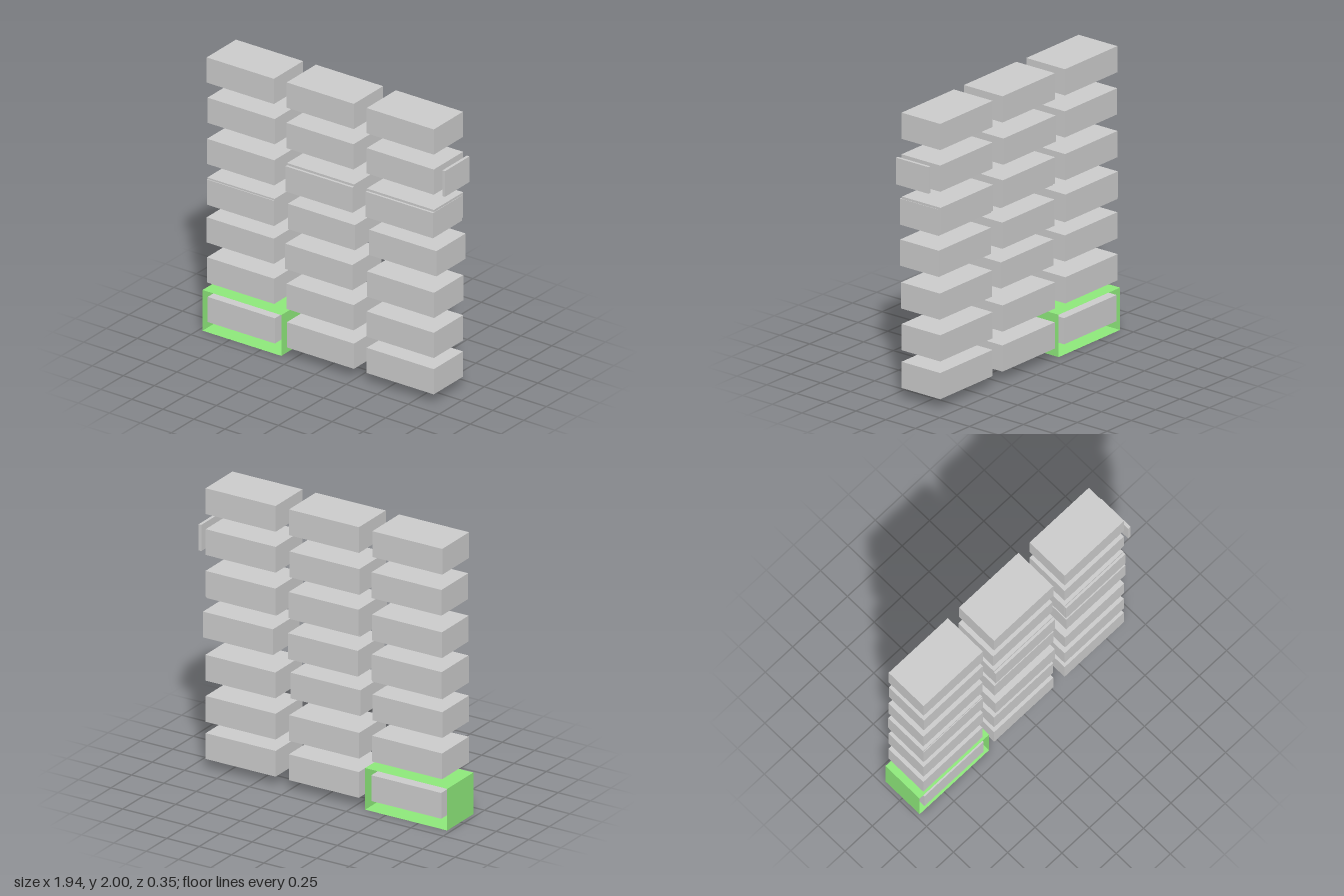
import * as THREE from 'three';

const GREY = new THREE.MeshStandardMaterial({ color: 0xcccccc, flatShading: true });
const GREEN = new THREE.MeshStandardMaterial({ color: 0x8ee97b, side: THREE.DoubleSide });

const W = 0.541, H = 0.183, D = 0.325;

// Rows from bottom to top: centre [x, y, z] of each block, left column to right
const ROWS = [
  [[-0.66, 0.167, -0.003], [-0.023, 0.167, -0.003], [0.62, 0.167, -0.003]],
  [[-0.668, 0.451, -0.006], [-0.025, 0.446, -0.003], [0.62, 0.431, -0.003]],
  [[-0.668, 0.743, -0.003], [-0.025, 0.743, 0.012], [0.623, 0.723, -0.002]],
  [[-0.667, 1.018, -0.003], [-0.017, 1.028, -0.006], [0.639, 1.028, -0.006]],
  [[-0.667, 1.312, -0.006], [-0.023, 1.306, 0.012], [0.622, 1.306, 0.01]],
  [[-0.663, 1.612, -0.006], [-0.029, 1.612, -0.006], [0.62, 1.617, -0.003]],
  [[-0.668, 1.904, -0.003], [-0.024, 1.908, -0.003], [0.62, 1.908, -0.003]],
];

// Blocks almost coincident with another, set slightly higher and further back
const DOUBLES = [[-0.667, 1.03, -0.009], [-0.023, 1.322, -0.006], [0.619, 1.322, -0.006]];

function box(name, [w, h, d], [x, y, z]) {
  const mesh = new THREE.Mesh(new THREE.BoxGeometry(w, h, d), GREY);
  mesh.name = name;
  mesh.position.set(x, y, z);
  return mesh;
}

// Thin four-walled sleeve, open at front and back
function sleeve(w, h, d) {
  const group = new THREE.Group();
  group.name = 'sleeve';
  const wall = (name, length, angle, x, y) => {
    const geometry = new THREE.PlaneGeometry(length, d).rotateX(-Math.PI / 2).rotateZ(angle);
    const mesh = new THREE.Mesh(geometry, GREEN);
    mesh.name = name;
    mesh.position.set(x, y, 0);
    group.add(mesh);
  };
  wall('sleeveTop', w, 0, 0, h / 2);
  wall('sleeveBottom', w, Math.PI, 0, -h / 2);
  wall('sleeveLeft', h, -Math.PI / 2, w / 2, 0);
  wall('sleeveRight', h, Math.PI / 2, -w / 2, 0);
  return group;
}

export function createModel() {
  const model = new THREE.Group();
  model.name = 'blockWall';

  // Staggered rows of blocks
  ROWS.forEach((row, i) => {
    const group = new THREE.Group();
    group.name = `row${i + 1}`;
    row.forEach((centre, j) => group.add(box(`block${i + 1}_${j + 1}`, [W, H, D], centre)));
    model.add(group);
  });
  DOUBLES.forEach((centre, i) => model.add(box(`doubledBlock${i + 1}`, [W, H, D], centre)));

  // Thin plate beside the second row from the top
  model.add(box('sidePlate', [0.021, 0.186, 0.272], [0.958, 1.619, 0.007]));

  // Green sleeve around the bottom corner block
  const frame = sleeve(0.634, 0.296, 0.318);
  frame.position.set(-0.656, 0.148, -0.001);
  model.add(frame);

  return model;
}
